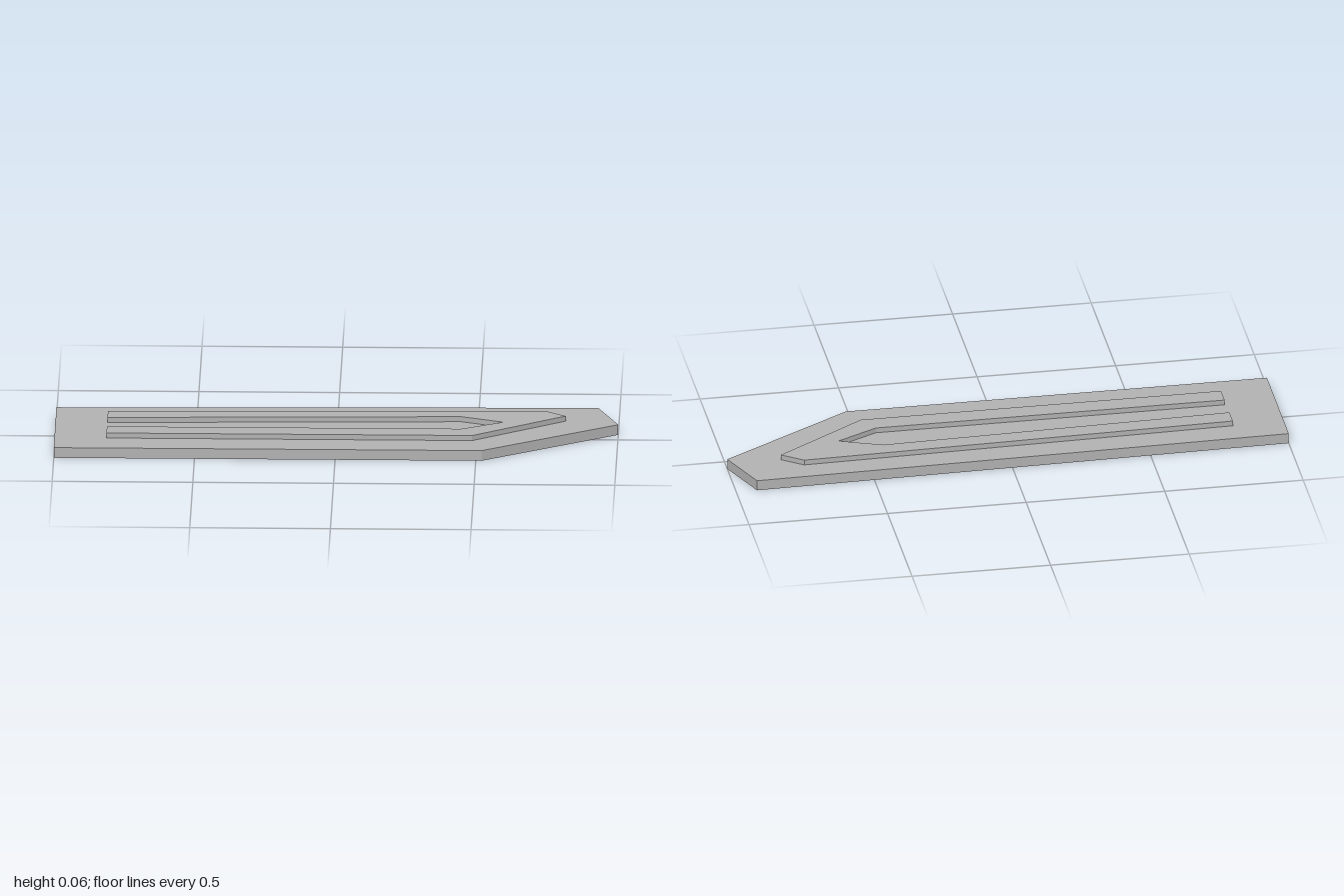
import * as THREE from 'three';

// Flat plate from an [x, z] outline, rising from y to y + height
function plate(name, outline, y, height, material) {
  const shape = new THREE.Shape(outline.map(([x, z]) => new THREE.Vector2(x, -z)));
  const geometry = new THREE.ExtrudeGeometry(shape, { depth: height, bevelEnabled: false });
  geometry.rotateX(-Math.PI / 2);
  const mesh = new THREE.Mesh(geometry, material);
  mesh.name = name;
  mesh.position.y = y;
  return mesh;
}

export function createModel() {
  const gray = new THREE.MeshStandardMaterial({ color: 0xb2b2b2 });
  gray.name = 'gray';
  const group = new THREE.Group();
  group.name = 'pointedPlate';

  // Slab with a skewed point at +x
  const base = [[-1, 0.24], [0.52, 0.24], [1, -0.056], [0.925, -0.24], [-1, -0.205]];

  // Raised band: outer edge, then back along the inner edge
  const band = [
    [-0.815, 0.13], [0.485, 0.13], [0.813, -0.092], [0.738, -0.147], [-0.815, -0.11],
    [-0.815, -0.041], [0.441, -0.077], [0.592, -0.02], [0.444, 0.057], [-0.815, 0.057],
  ];

  group.add(plate('basePlate', base, 0, 0.038, gray));
  group.add(plate('raisedBand', band, 0.038, 0.019, gray));
  return group;
}
